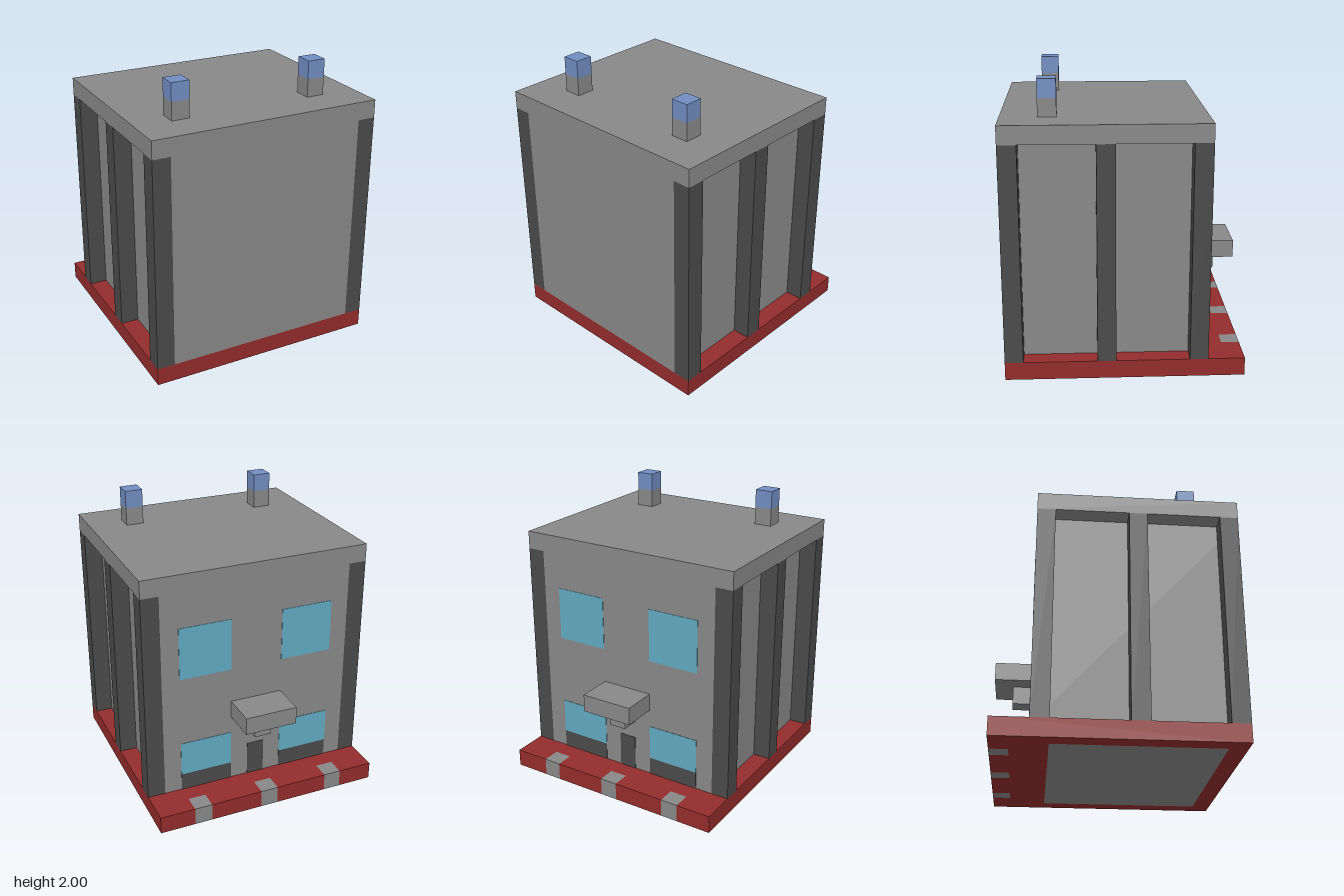
import * as THREE from 'three';

const mat = (name, color) => {
  const m = new THREE.MeshStandardMaterial({ color });
  m.name = name;
  return m;
};

export function createModel() {
  const stone = mat('stone grey', 0x888888);
  const dark = mat('dark grey', 0x4a4a4a);
  const red = mat('brick red', 0x932c2c);
  const blue = mat('lamp blue', 0x718dc1);
  const glass = mat('window blue', 0x61aac2);

  const U = 0.125; // one block
  const W = 6.5 * U; // half width of the base
  const BACK = -4.5 * U; // rear wall plane
  const model = new THREE.Group();
  model.name = 'building';

  // Box given by its extents on each axis
  const box = (name, m, [x0, x1], [y0, y1], [z0, z1]) => {
    const mesh = new THREE.Mesh(new THREE.BoxGeometry(x1 - x0, y1 - y0, z1 - z0), m);
    mesh.position.set((x0 + x1) / 2, (y0 + y1) / 2, (z0 + z1) / 2);
    mesh.name = name;
    model.add(mesh);
    return mesh;
  };
  const around = (c, half) => [c - half, c + half];

  // Red base slab: notched along the rear edge, open under the building
  const slab = new THREE.Shape();
  slab.moveTo(-W, -W).lineTo(W, -W).lineTo(W, W);
  for (const x of [0.5, 0, -0.5]) {
    slab.lineTo(x + U / 2, W).lineTo(x + U / 2, W - U);
    slab.lineTo(x - U / 2, W - U).lineTo(x - U / 2, W);
  }
  slab.lineTo(-W, W);
  const opening = new THREE.Path();
  const inner = W - U;
  opening.moveTo(-inner, -inner).lineTo(-inner, 3.5 * U).lineTo(inner, 3.5 * U).lineTo(inner, -inner);
  slab.holes.push(opening);
  const slabGeo = new THREE.ExtrudeGeometry(slab, { depth: U, bevelEnabled: false });
  slabGeo.rotateX(-Math.PI / 2);
  const base = new THREE.Mesh(slabGeo, red);
  base.name = 'base';
  model.add(base);

  // Grey floor and paving blocks set into the base
  box('floor', stone, [-inner, inner], [0, U], [-3.5 * U, inner]);
  for (const x of [-0.5, 0, 0.5]) box('pavingBlock', stone, around(x, U / 2), [0, U], [-W, -W + U]);

  // Walls and roof
  box('walls', stone, [-inner, inner], [U, 13 * U], [BACK, W]);
  box('roof', stone, [-W, W], [13 * U, 14 * U], [BACK, W]);

  // Pillars down both sides, leaving recessed panels between them
  for (const s of [-1, 1])
    for (const z of [-0.5, 0.125, 0.75])
      box('pillar', dark, around(s * 0.75, U / 2), [U, 13 * U], around(z, U / 2));

  // Roof lamps
  for (const x of [-0.5, 0.5]) {
    box('lampPost', stone, around(x, U / 2), [14 * U, 15 * U], around(0.5, U / 2));
    box('lamp', blue, around(x, U / 2), [15 * U, 16 * U], around(0.5, U / 2));
  }

  // Rear windows, sills and door as thin plates
  const plate = [BACK - 0.003, BACK + 0.003];
  for (const x of [-0.375, 0.375]) {
    box('upperWindow', glass, around(x, 1.5 * U), [8 * U, 11 * U], plate);
    box('lowerWindow', glass, around(x, 1.5 * U), [2 * U, 4 * U], plate);
    box('windowBase', dark, around(x, 1.5 * U), [U, 2 * U], plate);
  }
  box('door', dark, around(0, U / 2), [U, 3 * U], plate);

  // Canopy and its bracket over the door
  box('canopy', stone, around(0, 1.5 * U), [5 * U, 6 * U], [-W, BACK]);
  box('canopyBracket', stone, around(0, U / 2), [4 * U, 5 * U], [BACK - U, BACK]);

  return model;
}
